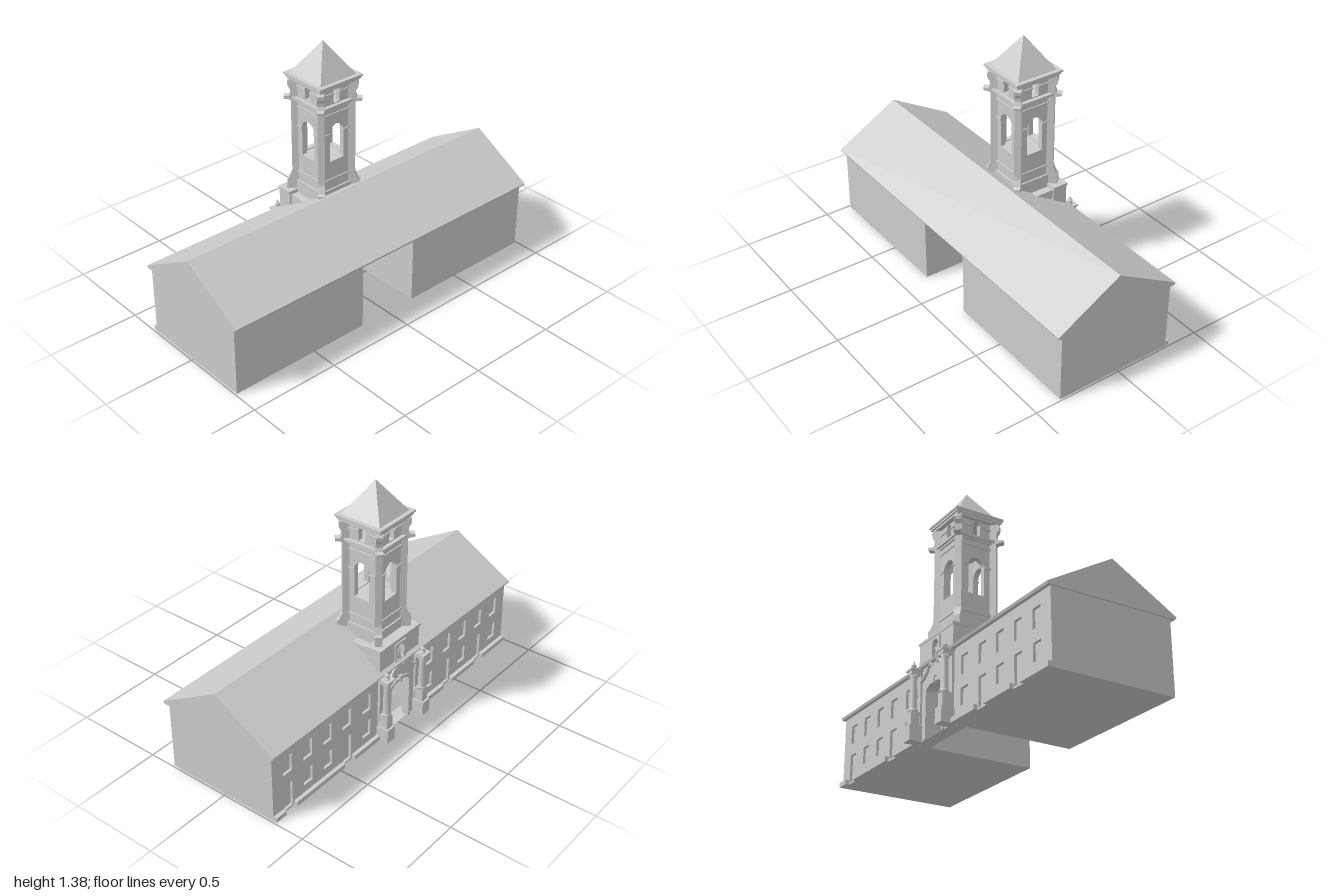
import * as THREE from 'three';

const grey = new THREE.MeshStandardMaterial({ color: 0xcccccc, side: THREE.DoubleSide });
const TX = -0.147; // tower axis

function add(parent, name, geometry) {
  const m = new THREE.Mesh(geometry, grey);
  m.name = name;
  parent.add(m);
  return m;
}

// Box given by its limits on each axis
function block(parent, name, x0, x1, y0, y1, z0, z1) {
  const m = add(parent, name, new THREE.BoxGeometry(x1 - x0, y1 - y0, z1 - z0));
  m.position.set((x0 + x1) / 2, (y0 + y1) / 2, (z0 + z1) / 2);
  return m;
}

function rect(P, u0, u1, y0, y1) {
  const p = new P();
  p.moveTo(u0, y0).lineTo(u1, y0).lineTo(u1, y1).lineTo(u0, y1).closePath();
  return p;
}

// Opening with an arched head: half width, sill, springing line, rise
function arch(hw, y0, spring, rise) {
  const p = new THREE.Path();
  p.moveTo(-hw, y0).lineTo(hw, y0).lineTo(hw, spring);
  p.absellipse(0, spring, hw, rise, 0, Math.PI, false);
  p.closePath();
  return p;
}

function wallGeometry(outline, holes, depth) {
  outline.holes = holes;
  return new THREE.ExtrudeGeometry(outline, { depth, bevelEnabled: false, curveSegments: 16 });
}

// Wall facing -x, with its outer face at x = front
function sideWall(parent, name, outline, holes, front, depth) {
  const g = wallGeometry(outline, holes, depth).rotateY(-Math.PI / 2);
  add(parent, name, g).position.x = front + depth;
}

function lathe(points, segments = 20) {
  return new THREE.LatheGeometry(points.map(p => new THREE.Vector2(...p)), segments);
}

function buildHall() {
  const hall = new THREE.Group();
  hall.name = 'hall';
  const bays = [0.27, 0.43, 0.58, 0.73, 0.88];
  const doors = [-0.88, -0.43, 0.43, 0.73];
  for (const s of [-1, 1]) {
    const [a, b] = s < 0 ? [-0.99, -0.175] : [0.175, 0.99];
    block(hall, 'wing', -0.298, 0.352, 0, 0.39, a, b);
    // Facade with recessed windows and doors
    const holes = [];
    for (const bay of bays) {
      const z = s * bay;
      holes.push(rect(THREE.Path, z - 0.032, z + 0.032, 0.225, 0.325));
      holes.push(rect(THREE.Path, z - 0.032, z + 0.032, doors.includes(z) ? 0.01 : 0.07, 0.16));
    }
    sideWall(hall, 'facade', rect(THREE.Shape, a, b, 0, 0.39), holes, -0.312, 0.014);
    // Plinth broken at the doors
    let start = a;
    for (const d of [...doors.filter(d => d * s > 0), b + 0.04]) {
      if (d - 0.04 > start) block(hall, 'plinth', -0.333, -0.3, 0, 0.026, start, d - 0.04);
      start = d + 0.04;
    }
  }
  block(hall, 'passageCeiling', -0.28, 0.352, 0.36, 0.39, -0.18, 0.18);
  const gable = new THREE.Shape();
  gable.moveTo(-0.33, 0.384).lineTo(0.375, 0.384).lineTo(0.382, 0.397);
  gable.lineTo(0.025, 0.602).lineTo(-0.335, 0.397).closePath();
  add(hall, 'roof', wallGeometry(gable, [], 2)).position.z = -1;
  return hall;
}

function buildPortal() {
  const portal = new THREE.Group();
  portal.name = 'portal';
  // Gate wall, stepped wider toward the passage
  sideWall(portal, 'gateWall', rect(THREE.Shape, -0.165, 0.165, 0, 0.53),
    [arch(0.077, -0.001 + 0.002, 0.24, 0.035), arch(0.03, 0.41, 0.47, 0.03)], -0.314, 0.03);
  sideWall(portal, 'innerGate', rect(THREE.Shape, -0.178, 0.178, 0, 0.385),
    [arch(0.115, 0.001, 0.265, 0.035)], -0.285, 0.045);
  // Tower base rising through the roof
  block(portal, 'towerBase', -0.285, -0.23, 0.37, 0.53, -0.165, 0.165);
  block(portal, 'towerBaseRear', -0.235, -0.02, 0.37, 0.515, -0.155, 0.155);
  block(portal, 'baseCornice', -0.318, -0.228, 0.522, 0.536, -0.17, 0.17);
  // Niche with a draped figure
  const frame = wallGeometry(rect(THREE.Shape, -0.045, 0.045, 0.395, 0.512), [arch(0.03, 0.41, 0.47, 0.03)], 0.008);
  add(portal, 'nicheFrame', frame.rotateY(-Math.PI / 2)).position.x = -0.313;
  const figure = add(portal, 'nicheFigure', lathe([[0, 0], [0.016, 0], [0.011, 0.03],
    [0.015, 0.046], [0.005, 0.055], [0.008, 0.063], [0.006, 0.071], [0, 0.074]], 10));
  figure.position.set(-0.304, 0.41, 0);
  // Gate surround
  const surround = new THREE.Shape();
  surround.moveTo(-0.095, 0).lineTo(-0.077, 0).lineTo(-0.077, 0.24);
  surround.absellipse(0, 0.24, 0.077, 0.035, Math.PI, 0, true);
  surround.lineTo(0.077, 0).lineTo(0.095, 0).lineTo(0.095, 0.245);
  surround.absellipse(0, 0.245, 0.095, 0.047, 0, Math.PI, false);
  sideWall(portal, 'gateSurround', surround, [], -0.324, 0.012);
  block(portal, 'keystone', -0.33, -0.31, 0.265, 0.305, -0.01, 0.01);

  for (const s of [-1, 1]) {
    const z = s * 0.153;
    block(portal, 'columnPlinth', -0.384, -0.305, 0, 0.08, z - 0.03, z + 0.03);
    block(portal, 'columnPedestal', -0.373, -0.305, 0.08, 0.155, z - 0.022, z + 0.022);
    block(portal, 'backPilaster', -0.325, -0.3, 0.08, 0.365, z - 0.024, z + 0.024);
    const column = add(portal, 'column', lathe([[0, 0.155], [0.024, 0.155], [0.026, 0.162], [0.024, 0.168],
      [0.02, 0.174], [0.02, 0.24], [0.017, 0.333], [0.022, 0.337], [0.018, 0.342], [0.023, 0.352], [0, 0.352]]));
    column.position.set(-0.352, 0, z);
    block(portal, 'entablature', -0.375, -0.305, 0.35, 0.37, z - 0.024, z + 0.024);
    block(portal, 'entablatureCap', -0.382, -0.305, 0.37, 0.38, z - 0.03, z + 0.03);
    const finial = add(portal, 'finial', lathe([[0, 0.38], [0.015, 0.38], [0.015, 0.386], [0.006, 0.391],
      [0.014, 0.4], [0.012, 0.408], [0.004, 0.412], [0.006, 0.418], [0, 0.43]], 12));
    finial.position.set(-0.352, 0, z);
    // Half of the broken curved pediment
    const curve = new THREE.CatmullRomCurve3([[0.13, 0.315], [0.105, 0.322], [0.075, 0.345], [0.05, 0.372], [0.028, 0.378],
      [0.025, 0.364]].map(([u, y]) => new THREE.Vector3(-0.322, y, s * u)));
    add(portal, 'pedimentScroll', new THREE.TubeGeometry(curve, 24, 0.008, 8));
  }
  return portal;
}

function buildTower() {
  const tower = new THREE.Group();
  tower.name = 'tower';
  tower.position.x = TX;
  const H = 0.103;

  // Diagonal corner buttress: flared foot, ledge and scroll in one profile
  const buttress = new THREE.Shape();
  buttress.moveTo(0.09, 0.5);
  for (const [d, y] of [[0.19, 0.5], [0.19, 0.59], [0.18, 0.6], [0.165, 0.635], [0.163, 0.65], [0.163, 1.05],
    [0.172, 1.056], [0.198, 1.06], [0.2, 1.074], [0.172, 1.076], [0.165, 1.095], [0.167, 1.115],
    [0.178, 1.135], [0.181, 1.155], [0.172, 1.168], [0.09, 1.168]]) buttress.lineTo(d, y);
  buttress.closePath();

  for (let k = 0; k < 4; k++) {
    const side = new THREE.Group();
    side.name = 'towerSide';
    side.rotation.y = k * Math.PI / 2;
    tower.add(side);
    const hw = k % 2 ? H - 0.03 : H;
    const wall = wallGeometry(rect(THREE.Shape, -hw, hw, 0.4, 1.17),
      [arch(0.047, 0.75, 0.91, 0.047), arch(0.02, 1.08, 1.145, 0.02)], 0.03);
    add(side, 'wall', wall).position.z = H - 0.03;
    for (const s of [-1, 1]) {
      const u = (a, b) => s > 0 ? [a, b] : [-b, -a];
      let [a, b] = u(0.047, H);
      block(side, 'imposts', a, b, 0.905, 0.914, H - 0.01, H + 0.006);
      [a, b] = u(0.02, H);
      block(side, 'upperImposts', a, b, 1.13, 1.138, H - 0.01, H + 0.006);
    }
    const corner = add(side, 'cornerButtress', wallGeometry(buttress.clone(), [], 0.036).translate(0, 0, -0.018));
    corner.rotation.y = Math.PI / 4;
  }

  // Square bands, floors and cornices: half width, bottom, top
  const square = (name, h, y0, y1) => block(tower, name, -h, h, y0, y1, -h, h);
  square('foot', 0.112, 0.5, 0.59);
  square('lowerBand', H + 0.006, 0.64, 0.65);
  square('belfryFloor', 0.09, 0.72, 0.745);
  square('upperBand', H + 0.006, 1.015, 1.024);
  square('ledgeMoulding', 0.112, 1.05, 1.06);
  square('ledge', 0.124, 1.06, 1.074);
  square('corniceMoulding', 0.128, 1.168, 1.18);
  square('cornice', 0.136, 1.18, 1.192);
  square('corniceTop', 0.142, 1.192, 1.202);

  const spire = add(tower, 'pyramidRoof', new THREE.ConeGeometry(0.12 * Math.SQRT2, 0.18, 4, 1).toNonIndexed());
  spire.geometry.computeVertexNormals();
  spire.rotation.y = Math.PI / 4;
  spire.position.y = 1.29;
  return tower;
}

export function createModel() {
  const model = new THREE.Group();
  model.name = 'gatehouseWithTower';
  model.add(buildHall(), buildPortal(), buildTower());
  return model;
}
